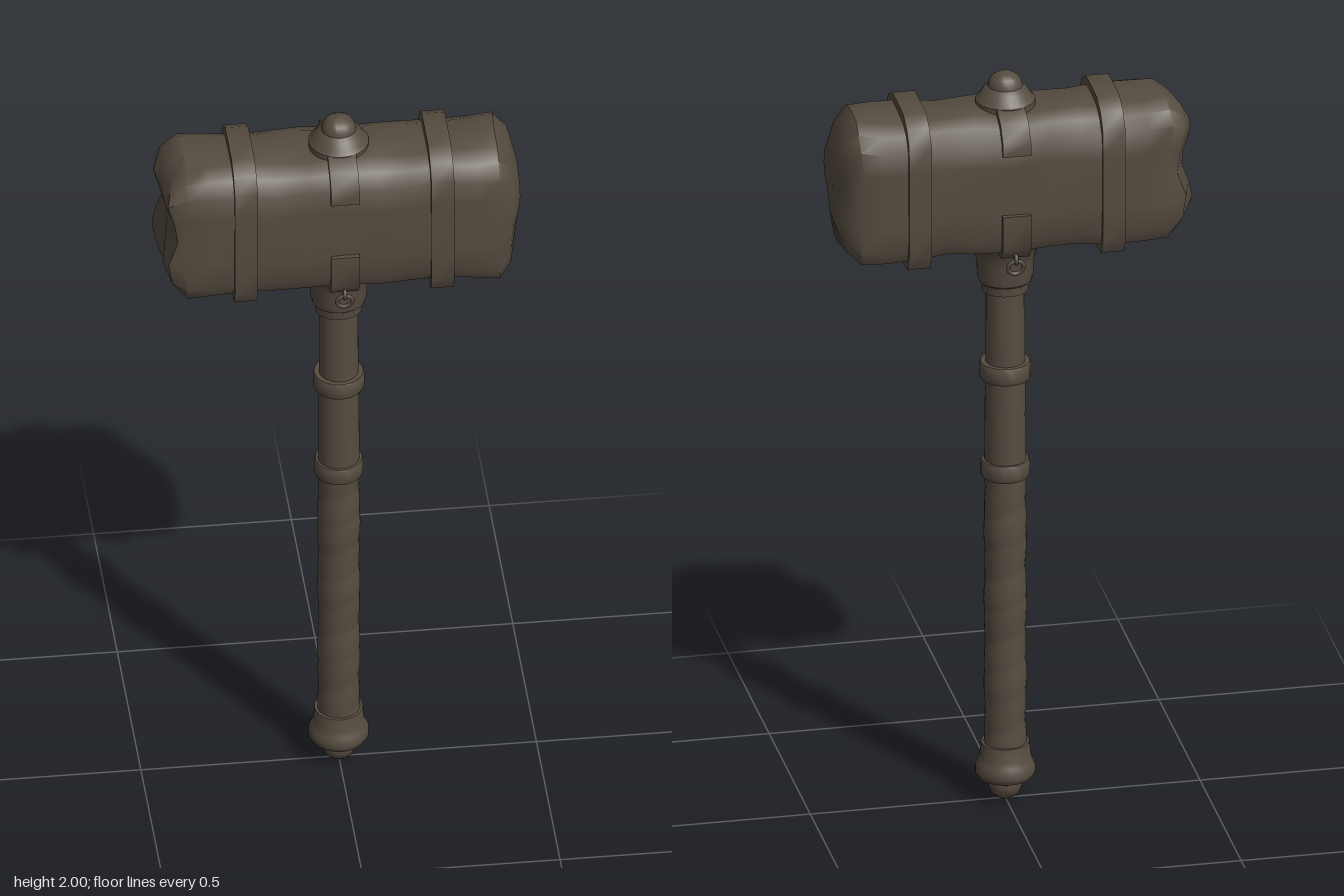
import * as THREE from 'three';
import { toCreasedNormals } from 'three/addons/utils/BufferGeometryUtils.js';

const MID = 1.735; // height of the head's axis

// Half outline of the head's section, as [z, y], from top to bottom
const half = [[0, 1.917], [0.065, 1.915], [0.105, 1.895], [0.132, 1.86], [0.135, 1.8], [0.136, 1.735],
  [0.135, 1.66], [0.133, 1.59], [0.115, 1.557], [0.065, 1.552], [0, 1.552]];
const outline = [...half, ...half.slice(1, -1).reverse().map(([z, y]) => [-z, y])];

// Closed loft along x; each station is { x, sy, sz }, warp moves each point
function loft(stations, crease, warp = () => {}) {
  const pos = [], index = [], n = outline.length;
  const add = (x, y, z) => {
    const p = new THREE.Vector3(x, y, z);
    warp(p);
    pos.push(p.x, p.y, p.z);
  };
  for (const { x, sy, sz } of stations)
    for (const [z, y] of outline) add(x, MID + (y - MID) * sy, z * sz);
  const last = stations.length - 1;
  for (let s = 0; s < last; s++)
    for (let i = 0; i < n; i++) {
      const a = s * n + i, b = s * n + (i + 1) % n;
      index.push(a, b, a + n, b, b + n, a + n);
    }
  const c0 = pos.length / 3;
  add(stations[0].x, MID, 0);
  add(stations[last].x, MID, 0);
  for (let i = 0; i < n; i++) {
    const j = (i + 1) % n;
    index.push(c0, j, i, c0 + 1, last * n + i, last * n + j);
  }
  const g = new THREE.BufferGeometry();
  g.setAttribute('position', new THREE.Float32BufferAttribute(pos, 3));
  g.setIndex(index);
  return toCreasedNormals(g, crease);
}

const lathe = (pts, seg = 24) => toCreasedNormals(
  new THREE.LatheGeometry(pts.map(([r, y]) => new THREE.Vector2(r, y)), seg), 0.6);

export function createModel() {
  const model = new THREE.Group();
  const material = new THREE.MeshStandardMaterial({ color: 0x564c40 });
  material.name = 'dark brown';
  const part = (name, geometry, parent = model) => {
    const mesh = new THREE.Mesh(geometry, material);
    mesh.name = name;
    parent.add(mesh);
    return mesh;
  };

  // Hewn head with worn ends
  const xs = [[-0.445, 0.6, 0.6], [-0.43, 0.87, 0.9], [-0.4, 1.03, 0.98], [-0.34, 1.02, 1], [-0.25, 1, 1],
    [-0.17, 0.99, 1], [-0.09, 1, 1], [0, 0.99, 1], [0.09, 1, 1], [0.17, 0.99, 1], [0.25, 1, 1],
    [0.34, 1.01, 1], [0.395, 1.04, 0.97], [0.427, 0.86, 0.82], [0.445, 0.5, 0.5]];
  part('head', loft(xs.map(([x, sy, sz]) => ({ x, sy, sz })), 0.75, p => {
    const { x, y, z } = p, end = THREE.MathUtils.smoothstep(Math.abs(x), 0.36, 0.44);
    p.y += 0.005 * Math.sin(x * 23 + z * 17);
    p.z += 0.003 * Math.sin(x * 19 + y * 21) * Math.sign(z);
    // The right end is dished across its middle, the left one bulges
    if (x < 0) p.x += end * (0.014 * Math.cos((y - 1.75) * 32) + 0.006 * Math.sin(z * 30));
    else p.x += end * 0.006 * Math.sin(y * 25 + z * 18);
  }));

  // Bands around the head
  for (const x of [-0.25, 0.247]) {
    const w = 0.029;
    part('headBand', loft([
      { x: x - w, sy: 0.97, sz: 0.97 }, { x: x - w, sy: 1.13, sz: 1.065 },
      { x: x + w, sy: 1.13, sz: 1.065 }, { x: x + w, sy: 0.97, sz: 0.97 }], 0.6));
  }

  // Straps bent over the edges, with hanging rings, front and back
  const strap = pts => {
    const g = new THREE.ExtrudeGeometry(new THREE.Shape(pts.map(([z, y]) => new THREE.Vector2(z, y))),
      { depth: 0.072, bevelEnabled: false });
    g.translate(0, 0, -0.036);
    g.rotateY(-Math.PI / 2);
    return toCreasedNormals(g, 0.7);
  };
  const topStrap = strap([[0.03, 1.9], [0.1, 1.88], [0.125, 1.85], [0.125, 1.83], [0.147, 1.83],
    [0.147, 1.865], [0.115, 1.907], [0.07, 1.928], [0.03, 1.93]]);
  const lowStrap = strap([[0.125, 1.665], [0.125, 1.57], [0.06, 1.56], [0.06, 1.538], [0.122, 1.542],
    [0.147, 1.575], [0.147, 1.665]]);
  for (const turn of [0, Math.PI]) {
    const side = new THREE.Group();
    side.name = turn ? 'backStraps' : 'frontStraps';
    side.rotation.y = turn;
    model.add(side);
    part('topStrap', topStrap, side);
    part('lowStrap', lowStrap, side);
    const eye = part('ringEye', new THREE.TorusGeometry(0.012, 0.005, 8, 16), side);
    eye.position.set(0, 1.54, 0.128);
    eye.rotation.y = Math.PI / 2;
    const ring = part('hangingRing', new THREE.TorusGeometry(0.02, 0.0055, 8, 20), side);
    ring.position.set(0, 1.518, 0.13);
    ring.rotation.x = 0.25;
  }

  // Cap on top of the head
  part('cap', lathe([[0, 1.9], [0.076, 1.9], [0.076, 1.928], [0.066, 1.938], [0.056, 1.955], [0.044, 1.964],
    [0.042, 1.975], [0.034, 1.988], [0.02, 1.997], [0, 2]]));

  // Flared socket below the head
  part('socket', lathe([[0.048, 1.4], [0.059, 1.402], [0.061, 1.425], [0.067, 1.43], [0.071, 1.445],
    [0.073, 1.485], [0.08, 1.515], [0.09, 1.53], [0.1, 1.545], [0.1, 1.56], [0, 1.56]])).scale.z = 0.9;

  // Shaft and its rings
  part('shaft', lathe([[0.053, 0.88], [0.052, 1.05], [0.05, 1.2], [0.049, 1.42]]));
  for (const [y, r] of [[1.183, 0.065], [0.913, 0.062]])
    part('shaftRing', lathe([[0.045, y - 0.023], [r - 0.003, y - 0.023], [r, y - 0.017], [r, y + 0.017],
      [r - 0.003, y + 0.023], [0.045, y + 0.023]]));

  // Grip with spiral wrapping
  const grip = new THREE.CylinderGeometry(0.053, 0.053, 0.78, 24, 70, true);
  const p = grip.attributes.position;
  for (let i = 0; i < p.count; i++) {
    const x = p.getX(i), y = p.getY(i), z = p.getZ(i);
    const turn = (y / 0.085 + Math.atan2(z, x) / (2 * Math.PI) + 20) % 1;
    const k = 1 + 0.05 * (Math.sqrt(Math.sin(Math.PI * turn) + 1e-6) - 0.8) + 0.025 * Math.sin(y * 31 + 1);
    p.setXYZ(i, x * k, y, z * k);
  }
  part('grip', toCreasedNormals(grip, 0.9)).position.y = 0.52;

  // Pommel with its knob
  part('pommel', lathe([[0, 0], [0.02, 0.005], [0.036, 0.018], [0.043, 0.036], [0.042, 0.05], [0.05, 0.056],
    [0.068, 0.062], [0.076, 0.075], [0.076, 0.093], [0.07, 0.105], [0.065, 0.12], [0.061, 0.157], [0.045, 0.157]]));

  return model;
}
